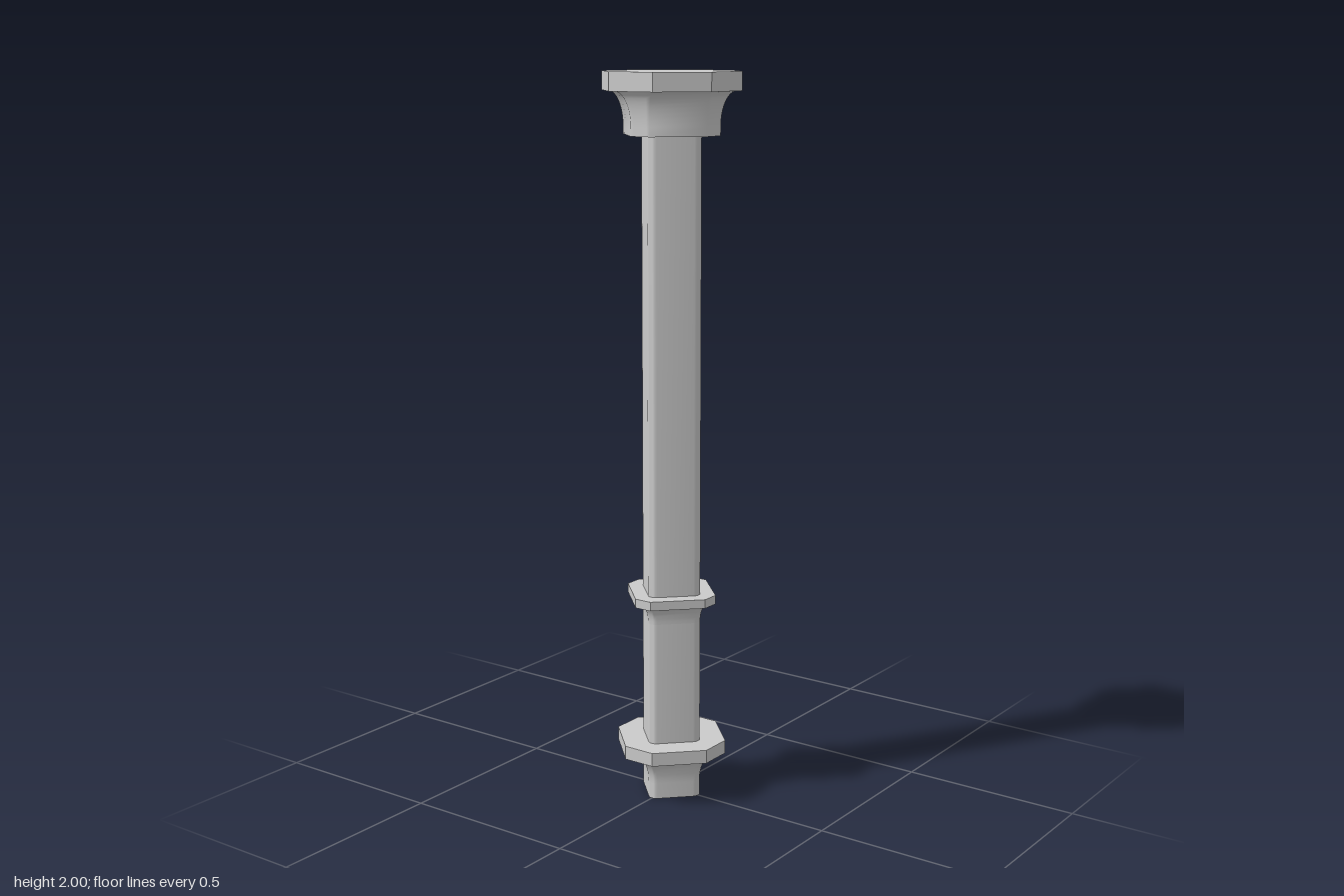
import * as THREE from 'three';
import { toCreasedNormals } from 'three/addons/utils/BufferGeometryUtils.js';

const STEPS = 6;          // segments across each corner
const ROUND = 0.022;      // corner radius of the shaft
const CHAMFER = 0.107;    // length of the diagonal cut on the octagonal parts
const SHAFT = 0.093;      // axis to shaft corner

// Cross-section with corners on the x and z axes.
// w: reach along each axis; round 0 = octagon, 1 = square with rounded corners
function ring(y, w, round) {
  const points = [];
  const f = Math.max(w - CHAMFER, 0.012);
  for (let corner = 0; corner < 4; corner++) {
    const c = Math.round(Math.cos(corner * Math.PI / 2));
    const s = Math.round(Math.sin(corner * Math.PI / 2));
    for (let k = 0; k <= STEPS; k++) {
      const t = 2 * k / STEPS - 1, a = t * Math.PI / 4;
      const u = THREE.MathUtils.lerp(w, w - ROUND + ROUND * Math.cos(a), round);
      const v = THREE.MathUtils.lerp(f * t, ROUND * Math.sin(a), round);
      points.push([u * c - v * s, y, -(u * s + v * c)]);
    }
  }
  return points;
}

// Closed solid through a stack of [y, w, round] sections, bottom to top
function loft(name, sections, crease, material) {
  const rings = sections.map(s => ring(...s));
  const n = rings[0].length, pos = [];
  const tri = (...p) => p.forEach(q => pos.push(...q));
  const top = rings.length - 1;
  for (let j = 0; j < n; j++) {
    const k = (j + 1) % n;
    for (let i = 0; i < top; i++) {
      const lo = rings[i], hi = rings[i + 1];
      tri(lo[j], lo[k], hi[k]);
      tri(lo[j], hi[k], hi[j]);
    }
    tri([0, sections[0][0], 0], rings[0][k], rings[0][j]);
    tri([0, sections[top][0], 0], rings[top][j], rings[top][k]);
  }
  const geometry = new THREE.BufferGeometry();
  geometry.setAttribute('position', new THREE.Float32BufferAttribute(pos, 3));
  const mesh = new THREE.Mesh(toCreasedNormals(geometry, crease), material);
  mesh.name = name;
  return mesh;
}

// Concave quarter curve flaring from w0 at y0 to w1 at y1
function cove(y0, w0, y1, w1, round0) {
  const out = [], n = 10;
  for (let i = 0; i <= n; i++) {
    const a = i / n * Math.PI / 2;
    const flare = 1 - Math.cos(a);
    out.push([y0 + (y1 - y0) * Math.sin(a), w0 + (w1 - w0) * flare, round0 * (1 - flare)]);
  }
  return out;
}

export function createModel() {
  const group = new THREE.Group();
  group.name = 'column';
  const material = new THREE.MeshStandardMaterial({ color: 0xcccccc });
  const smooth = 0.95, sharp = 0.6;
  const add = (name, sections, crease) => group.add(loft(name, sections, crease, material));

  // Long post with rounded corners
  add('shaft', [[0, SHAFT, 1], [1.84, SHAFT, 1]], smooth);

  // Foot flare and its slab
  add('baseCove', [[0, SHAFT, 1], ...cove(0.045, SHAFT, 0.125, 0.147, 1)], smooth);
  add('baseSlab', [[0.125, 0.153, 0], [0.163, 0.153, 0]], sharp);

  // Thin collar band
  add('collarCove', cove(0.51, SHAFT, 0.563, 0.122, 1), smooth);
  add('collarSlab', [[0.563, 0.132, 0], [0.588, 0.132, 0]], sharp);

  // Octagonal head
  add('capitalCove', [[1.835, 0.137, 0], ...cove(1.86, 0.137, 1.95, 0.167, 0)], smooth);
  add('capitalSlab', [[1.95, 0.177, 0], [2, 0.177, 0]], sharp);

  return group;
}
